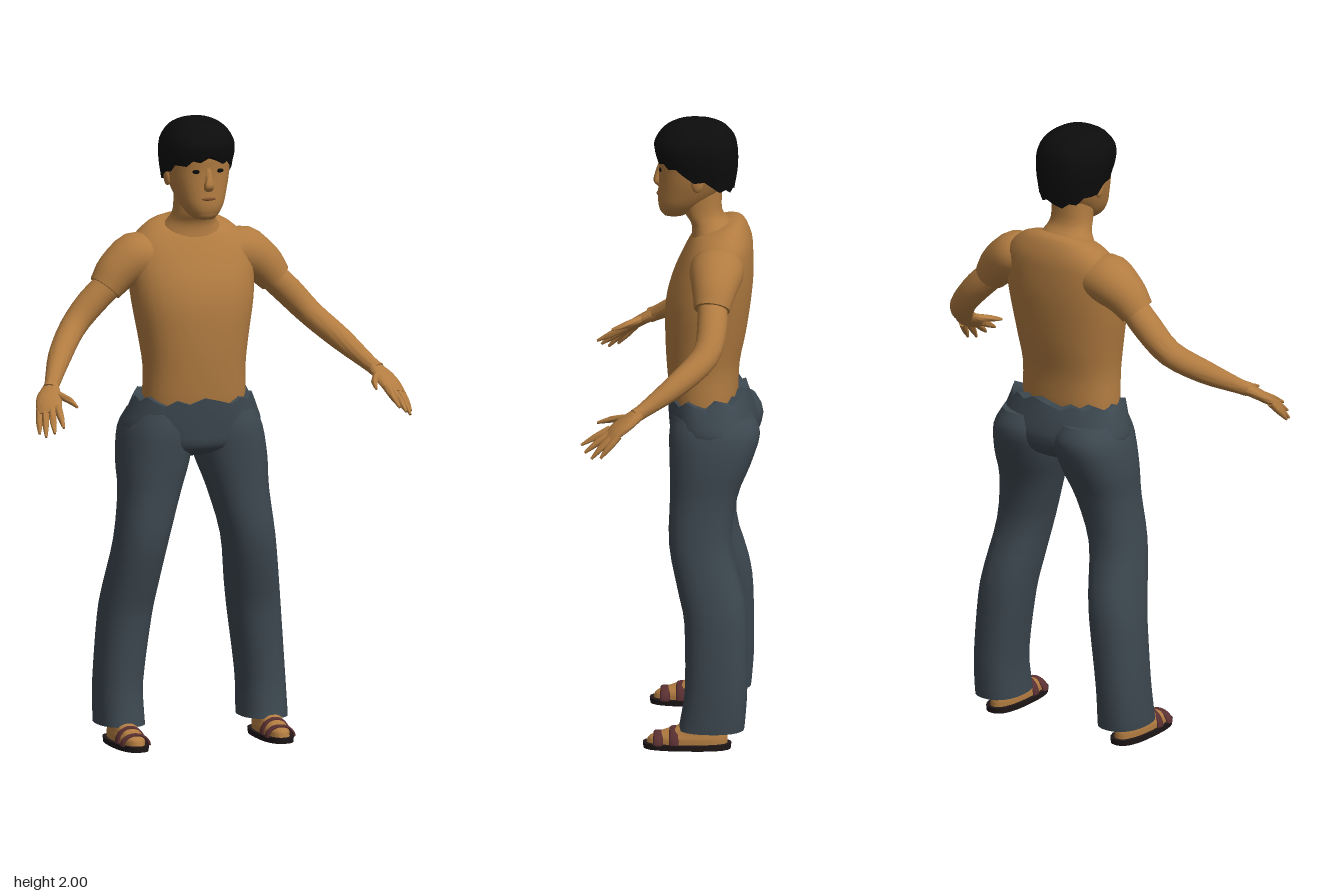
import * as THREE from 'three';
import { toCreasedNormals } from 'three/addons/utils/BufferGeometryUtils.js';

const mat = (name, color) => new THREE.MeshStandardMaterial({ name, color });
const SEG = 28;

// Horizontal superellipse ring. tilt raises its front, jag roughens its edge.
function flatRing(x, y, rx, zf, zb, tilt = 0, jag = 0, e = 2.3) {
  const ring = [];
  const pow = (v) => Math.sign(v) * Math.abs(v) ** (2 / e);
  for (let j = 0; j < SEG; j++) {
    const a = (j / SEG) * Math.PI * 2;
    const s = pow(Math.sin(a));
    const dy = tilt * s + jag * (((j * 7) % 5) / 2 - 1);
    ring.push(new THREE.Vector3(x + rx * pow(Math.cos(a)), y + dy, (zf + zb) / 2 + ((zf - zb) / 2) * s));
  }
  return ring;
}

// Rings across a path of [x, y, z, radius, second radius]
function limbRings(path, axis = [1, 1, 0]) {
  const pts = path.map((p) => new THREE.Vector3(p[0], p[1], p[2]));
  return path.map((p, i) => {
    const t = pts[Math.min(i + 1, pts.length - 1)].clone().sub(pts[Math.max(i - 1, 0)]).normalize();
    const u = new THREE.Vector3(...axis);
    u.addScaledVector(t, -u.dot(t)).normalize();
    const v = new THREE.Vector3().crossVectors(u, t);
    return Array.from({ length: SEG }, (_, j) => {
      const a = (j / SEG) * Math.PI * 2;
      return pts[i].clone().addScaledVector(u, p[3] * Math.cos(a)).addScaledVector(v, (p[4] ?? p[3]) * Math.sin(a));
    });
  });
}

// Smooth capped skin through rings; side -1 mirrors it in x
function loft(name, rings, material, side = 1, steps = 3) {
  const rows = (rings.length - 1) * steps;
  const pos = [], idx = [], pts = [];
  const curves = rings[0].map((_, j) => new THREE.CatmullRomCurve3(rings.map((r) => r[j]), false, 'catmullrom'));
  for (let i = 0; i <= rows; i++) curves.forEach((c) => pts.push(c.getPoint(i / rows)));
  for (const start of [0, rows * SEG]) {
    const mid = new THREE.Vector3();
    for (let j = 0; j < SEG; j++) mid.addScaledVector(pts[start + j], 1 / SEG);
    pts.push(mid);
  }
  pts.forEach((p) => { p.x *= side; pos.push(p.x, p.y, p.z); });
  const low = (rows + 1) * SEG, last = rows * SEG;
  for (let j = 0; j < SEG; j++) {
    const k = (j + 1) % SEG;
    for (let i = 0; i < rows; i++) {
      const a = i * SEG + j, b = i * SEG + k;
      idx.push(a, a + SEG, b, b, a + SEG, b + SEG);
    }
    idx.push(low, j, k, low + 1, last + k, last + j);
  }
  // Turn the faces outward if the enclosed volume is negative
  let volume = 0;
  const cross = new THREE.Vector3();
  for (let i = 0; i < idx.length; i += 3)
    volume += pts[idx[i]].dot(cross.crossVectors(pts[idx[i + 1]], pts[idx[i + 2]]));
  if (volume < 0) idx.reverse();
  const g = new THREE.BufferGeometry();
  g.setAttribute('position', new THREE.Float32BufferAttribute(pos, 3));
  g.setIndex(idx);
  const mesh = new THREE.Mesh(toCreasedNormals(g, 1.0), material);
  mesh.name = name;
  return mesh;
}

export function createModel() {
  const model = new THREE.Group();
  model.name = 'standingMan';
  const skin = mat('skin', 0xb27c41);
  const denim = mat('trouserCloth', 0x3c474f);
  const black = mat('hairBlack', 0x0c0c0d);
  const leather = mat('sandalLeather', 0x5a3032);
  const soleMat = mat('soleRubber', 0x1f1718);
  const lip = mat('lip', 0x85532f);
  const add = (...m) => model.add(...m);
  const flat = (list) => list.map((r) => flatRing(0, ...r));
  const ball = (name, material, p, s) => {
    const m = new THREE.Mesh(new THREE.SphereGeometry(1, 16, 10), material);
    m.name = name;
    m.position.set(...p);
    m.scale.set(...s);
    add(m);
  };

  // Torso with a neckline that dips at the front
  add(loft('torso', flat([
    [1.05, 0.163, 0.005, -0.19], [1.1, 0.167, 0.015, -0.2], [1.2, 0.165, 0.025, -0.205],
    [1.3, 0.178, 0.03, -0.225], [1.4, 0.195, 0.028, -0.24], [1.48, 0.203, 0.01, -0.248],
    [1.55, 0.203, -0.02, -0.248], [1.6, 0.185, -0.04, -0.243, -0.01],
    [1.64, 0.14, -0.055, -0.222, -0.022], [1.655, 0.1, -0.065, -0.2, -0.022],
  ]), skin));
  add(loft('neck', flat([
    [1.56, 0.125, -0.045, -0.21], [1.63, 0.1, -0.055, -0.2], [1.665, 0.078, -0.05, -0.175],
    [1.7, 0.067, -0.03, -0.15], [1.78, 0.065, -0.02, -0.15],
  ]), skin));

  // Head and face
  add(loft('head', flat([
    [1.685, 0.03, 0.035, -0.03], [1.7, 0.048, 0.046, -0.06], [1.73, 0.068, 0.053, -0.1],
    [1.77, 0.083, 0.052, -0.145], [1.81, 0.094, 0.05, -0.17], [1.85, 0.1, 0.05, -0.183],
    [1.9, 0.104, 0.052, -0.187], [1.95, 0.088, 0.03, -0.165], [1.975, 0.05, 0, -0.13],
  ]), skin));
  add(loft('nose', limbRings([
    [0, 1.85, 0.044, 0.008], [0, 1.82, 0.051, 0.011], [0, 1.795, 0.053, 0.017, 0.014], [0, 1.78, 0.047, 0.013, 0.007],
  ], [1, 0, 0]), skin));
  ball('lips', lip, [0, 1.754, 0.049], [0.024, 0.006, 0.008]);
  for (const s of [-1, 1]) {
    ball('eye', black, [s * 0.038, 1.842, 0.042], [0.014, 0.007, 0.006]);
    ball('ear', skin, [s * 0.095, 1.815, -0.075], [0.011, 0.032, 0.02]);
  }
  add(loft('hair', flat([
    [1.825, 0.107, 0.058, -0.188, 0.053, 0.009], [1.88, 0.115, 0.065, -0.2, 0.03],
    [1.93, 0.112, 0.06, -0.196, 0.005], [1.97, 0.087, 0.032, -0.168],
    [1.992, 0.05, -0.01, -0.125], [2, 0.012, -0.055, -0.08],
  ]), black));

  // Trouser seat with a ragged waist
  add(loft('trouserSeat', flat([
    [0.915, 0.06, -0.06, -0.17], [0.945, 0.17, 0.005, -0.235], [1, 0.226, 0.015, -0.262],
    [1.06, 0.21, 0.02, -0.25], [1.105, 0.192, 0.022, -0.232, -0.008, 0.013],
  ]), denim));

  for (const s of [-1, 1]) {
    const part = (name, rings, material, steps) => add(loft(name, rings, material, s, steps));

    // Trouser leg: height, inner x, outer x, front z, back z
    part('trouserLeg', [
      [0.062, 0.162, 0.315, -0.022, -0.23], [0.1, 0.163, 0.315, -0.03, -0.234], [0.2, 0.162, 0.312, -0.043, -0.24],
      [0.4, 0.135, 0.298, -0.04, -0.238], [0.5, 0.12, 0.285, -0.02, -0.225], [0.65, 0.095, 0.262, 0.01, -0.187],
      [0.8, 0.052, 0.244, 0.008, -0.205], [0.9, 0.018, 0.243, 0.01, -0.245], [1, 0.0, 0.229, 0.012, -0.275],
      [1.06, 0.02, 0.2, 0, -0.25],
    ].map(([y, a, b, zf, zb]) => flatRing((a + b) / 2, y, (b - a) / 2, zf, zb)), denim);

    // Foot and sandal
    const foot = (list) => list.map((r) => flatRing(0.242, ...r));
    part('foot', foot([
      [0.016, 0.042, 0.078, -0.178], [0.036, 0.042, 0.07, -0.178], [0.054, 0.037, 0.03, -0.174],
      [0.08, 0.038, -0.035, -0.168], [0.14, 0.042, -0.07, -0.165],
    ]), skin);
    part('sandalSole', foot([
      [0, 0.051, 0.088, -0.188, 0, 0, 2.6], [0.018, 0.053, 0.09, -0.19, 0, 0, 2.6],
    ]), soleMat, 1);
    for (const [z, height] of [[0.04, 0.034], [-0.01, 0.048]]) {
      const strap = new THREE.Mesh(new THREE.TorusGeometry(1, 0.13, 8, 20, Math.PI), leather);
      strap.name = 'sandalStrap';
      strap.position.set(s * 0.242, 0.016, z);
      strap.scale.set(0.044, height, 0.12);
      add(strap);
    }

    // Shoulder with sleeve edge, then the bare arm
    part('shoulderSleeve', limbRings([
      [0.1, 1.55, -0.14, 0.065, 0.08], [0.18, 1.546, -0.14, 0.08, 0.086],
      [0.245, 1.503, -0.135, 0.067, 0.07], [0.284, 1.456, -0.13, 0.054, 0.057],
    ]), skin);
    part('arm', limbRings([
      [0.25, 1.485, -0.13, 0.046], [0.33, 1.41, -0.133, 0.046, 0.048], [0.4, 1.335, -0.113, 0.041, 0.044],
      [0.47, 1.265, -0.03, 0.037, 0.038], [0.53, 1.2, 0.07, 0.025, 0.024], [0.547, 1.183, 0.1, 0.025, 0.022],
    ]), skin);

    // Hand
    part('palm', limbRings([
      [0.54, 1.19, 0.088, 0.025, 0.02], [0.56, 1.165, 0.125, 0.04, 0.018],
      [0.573, 1.14, 0.16, 0.041, 0.016], [0.58, 1.122, 0.182, 0.034, 0.01],
    ], [0.85, 0, -0.5]), skin);
    const fingers = [
      [[0.549, 1.14, 0.178], [0.556, 1.115, 0.225], [0.562, 1.09, 0.27]],
      [[0.568, 1.132, 0.176], [0.58, 1.1, 0.222], [0.588, 1.072, 0.258]],
      [[0.586, 1.13, 0.166], [0.6, 1.093, 0.205], [0.609, 1.058, 0.236]],
      [[0.6, 1.132, 0.15], [0.613, 1.095, 0.182], [0.621, 1.064, 0.207]],
      [[0.54, 1.175, 0.12], [0.51, 1.16, 0.175], [0.5, 1.145, 0.222]],
    ];
    fingers.forEach((f, i) => part(i < 4 ? 'finger' : 'thumb',
      limbRings(f.map((p, k) => [...p, [0.012, 0.0105, 0.004][k]])), skin, 2));
  }
  return model;
}
